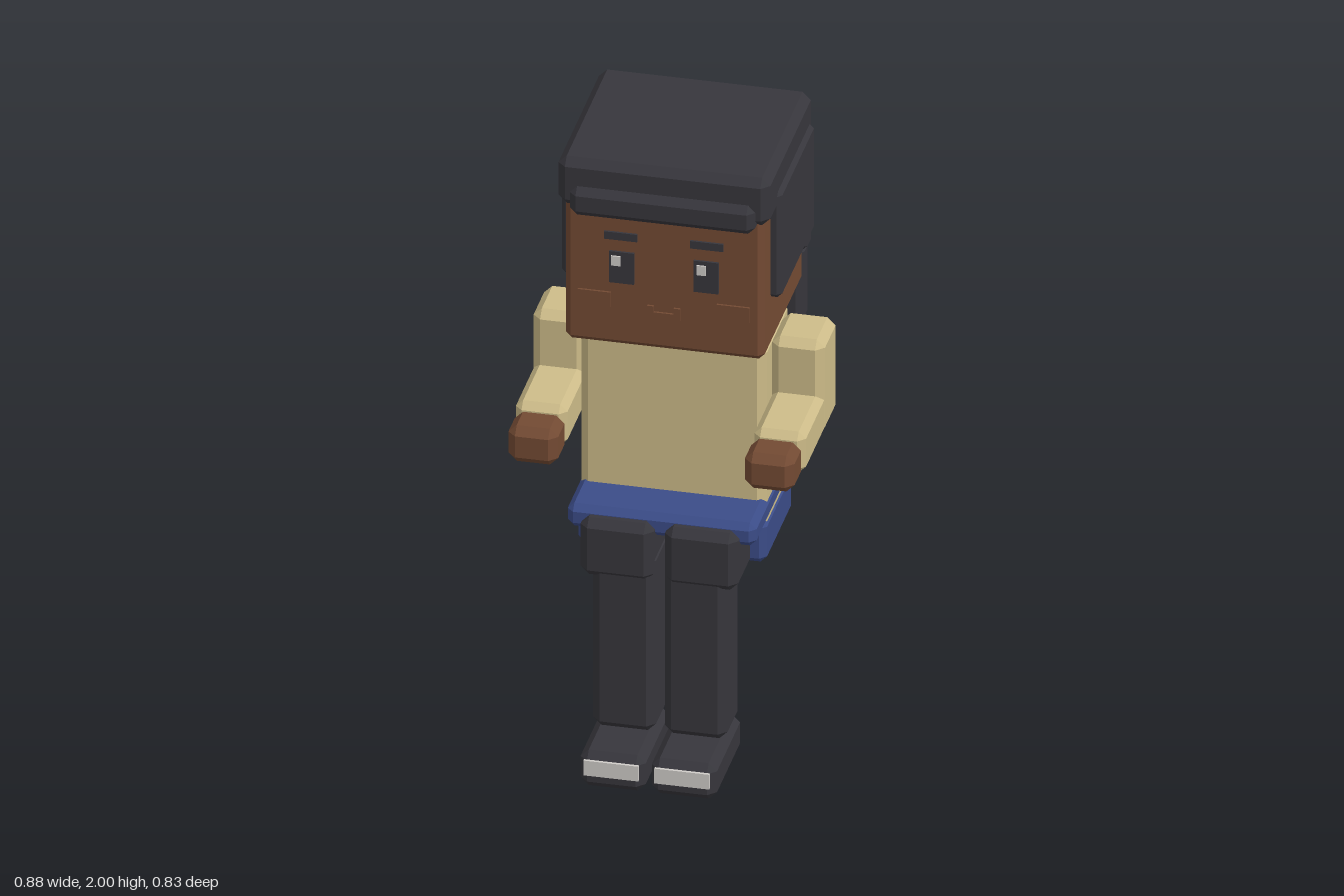
import * as THREE from 'three';
import { ConvexGeometry } from 'three/addons/geometries/ConvexGeometry.js';

const material = (name, color) => {
  const m = new THREE.MeshStandardMaterial({ color });
  m.name = name;
  return m;
};

// Box with every edge and corner cut flat by c
function chamferBox(w, h, d, c) {
  const points = [];
  for (const x of [-w / 2, w / 2]) for (const y of [-h / 2, h / 2]) for (const z of [-d / 2, d / 2]) {
    const ix = x - Math.sign(x) * c, iy = y - Math.sign(y) * c, iz = z - Math.sign(z) * c;
    points.push(new THREE.Vector3(x, iy, iz), new THREE.Vector3(ix, y, iz), new THREE.Vector3(ix, iy, z));
  }
  return new ConvexGeometry(points);
}

export function createModel() {
  const model = new THREE.Group();
  model.name = 'seatedFigure';
  const dark = material('charcoal', 0x37363c);
  const skin = material('brownSkin', 0x734a33);
  const cream = material('creamShirt', 0xcdbc89);
  const blue = material('blueShorts', 0x3b4c88);
  const pale = material('paleGrey', 0xcfccc8);

  // Part given by its [min, max] on each axis; c = 0 gives a plain box
  function part(name, mat, [x0, x1], [y0, y1], [z0, z1], c = 0.025) {
    const w = x1 - x0, h = y1 - y0, d = z1 - z0;
    const mesh = new THREE.Mesh(c ? chamferBox(w, h, d, c) : new THREE.BoxGeometry(w, h, d), mat);
    mesh.name = name;
    mesh.position.set((x0 + x1) / 2, (y0 + y1) / 2, (z0 + z1) / 2);
    model.add(mesh);
  }
  // Same part on both sides, from its left-hand x range
  function pair(name, mat, [x0, x1], y, z, c) {
    part('left' + name, mat, [x0, x1], y, z, c);
    part('right' + name, mat, [-x1, -x0], y, z, c);
  }

  // Head and neck
  part('head', skin, [-0.3, 0.3], [1.38, 1.93], [-0.34, 0.177], 0.018);
  part('neck', skin, [-0.1, 0.1], [1.3, 1.42], [-0.18, 0.01], 0.01);

  // Hair
  part('hairTop', dark, [-0.32, 0.32], [1.84, 2], [-0.38, 0.197]);
  part('fringe', dark, [-0.28, 0.28], [1.82, 1.915], [0.1, 0.22], 0.022);
  part('hairBack', dark, [-0.32, 0.32], [1.48, 1.92], [-0.382, -0.29]);
  part('hairTail', dark, [-0.302, 0.302], [1.225, 1.485], [-0.414, -0.328], 0.022);
  pair('SideHair', dark, [0.27, 0.333], [1.545, 1.905], [-0.355, 0.088], 0.015);

  // Face plates
  pair('Eye', dark, [0.09, 0.165], [1.595, 1.7], [0.177, 0.184], 0);
  part('leftEyeGlint', pale, [0.1, 0.128], [1.655, 1.687], [0.184, 0.189], 0);
  part('rightEyeGlint', pale, [-0.158, -0.13], [1.655, 1.687], [0.184, 0.189], 0);
  pair('Brow', dark, [0.08, 0.18], [1.74, 1.765], [0.177, 0.184], 0);
  pair('Cheek', skin, [0.16, 0.26], [1.51, 1.56], [0.177, 0.184], 0);
  part('mouth', skin, [-0.05, 0.05], [1.49, 1.51], [0.177, 0.184], 0);
  pair('MouthCorner', skin, [0.03, 0.05], [1.51, 1.53], [0.177, 0.184], 0);

  // Shirt and arms
  part('torso', cream, [-0.28, 0.28], [0.74, 1.362], [-0.248, 0.068]);
  pair('UpperArm', cream, [0.28, 0.44], [1.045, 1.362], [-0.183, 0.003]);
  pair('Forearm', cream, [0.282, 0.438], [1.045, 1.183], [-0.06, 0.24], 0.022);
  pair('Hand', skin, [0.282, 0.432], [1.047, 1.168], [0.235, 0.366]);

  // Shorts
  part('shortsSeat', blue, [-0.285, 0.285], [0.64, 0.78], [-0.265, 0.085], 0.02);
  part('shortsLap', blue, [-0.285, 0.285], [0.77, 0.847], [-0.115, 0.222], 0.02);

  // Legs and shoes
  pair('Thigh', dark, [0.017, 0.238], [0.633, 0.825], [-0.2, 0.263]);
  pair('Calf', dark, [0.013, 0.203], [0.12, 0.72], [0.07, 0.25]);
  pair('Shoe', dark, [0.009, 0.206], [0, 0.12], [0.052, 0.402]);
  pair('ToeCap', pale, [0.024, 0.19], [0.05, 0.1], [0.402, 0.411], 0);

  return model;
}
